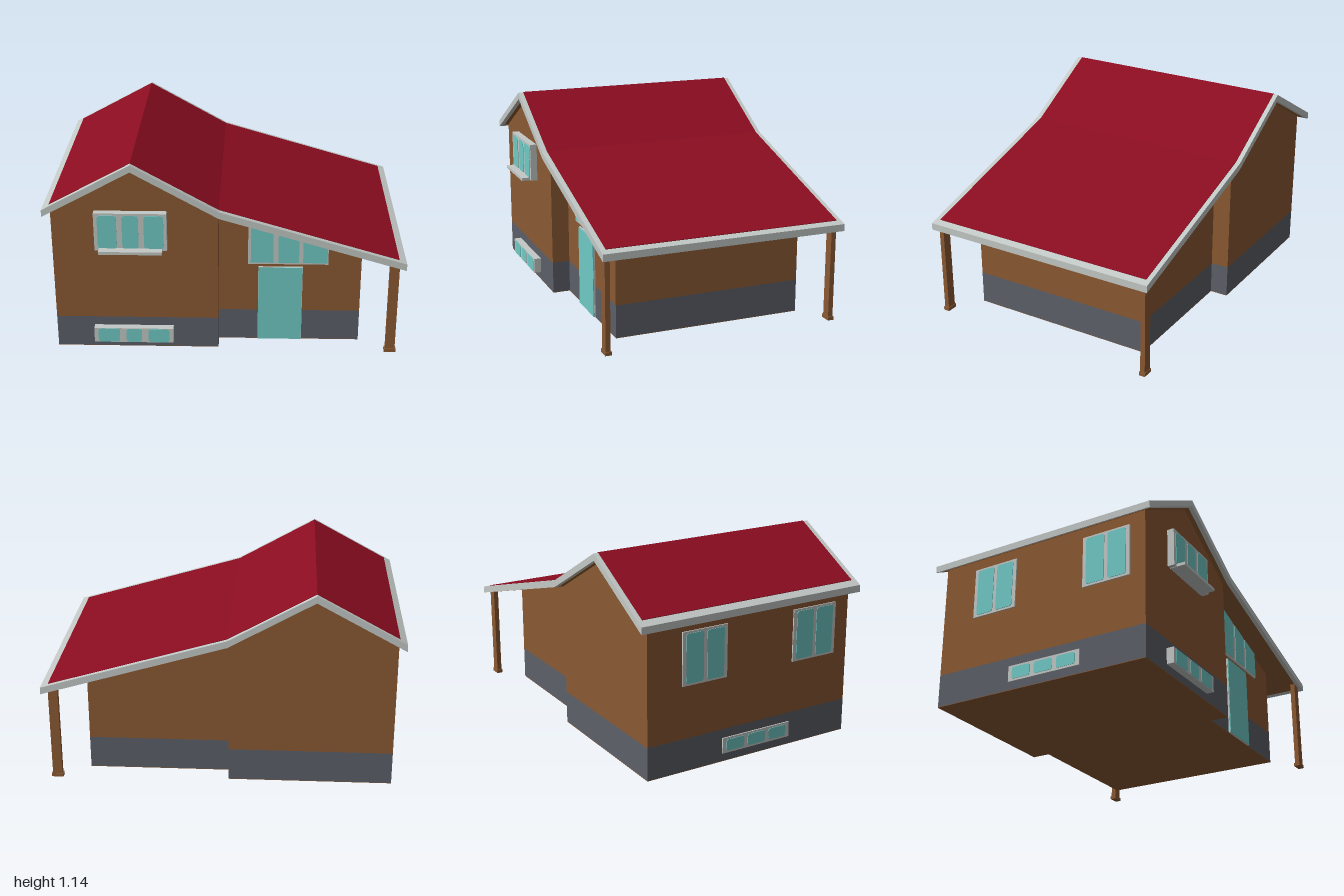
import * as THREE from 'three';

const mat = (name, color) => new THREE.MeshStandardMaterial({ name, color });

export function createModel() {
  const brick = mat('brownWall', 0x8b5a33);
  const stone = mat('slateBase', 0x5c6068);
  const trim = mat('paleTrim', 0xc3c9c6);
  const glass = mat('tealGlass', 0x70cac6);
  const red = mat('redRoof', 0x8b0d20);

  const house = new THREE.Group();
  house.name = 'house';

  const add = (name, geometry, material, parent = house) => {
    const mesh = new THREE.Mesh(geometry, material);
    mesh.name = name;
    parent.add(mesh);
    return mesh;
  };
  // Box given by its limits on each axis
  const box = (name, material, [x0, x1], [y0, y1], [z0, z1], parent) => {
    const mesh = add(name, new THREE.BoxGeometry(x1 - x0, y1 - y0, z1 - z0), material, parent);
    mesh.position.set((x0 + x1) / 2, (y0 + y1) / 2, (z0 + z1) / 2);
    return mesh;
  };
  // Outline in x and y, pushed from z0 to z1
  const prism = (name, material, points, z0, z1, parent) => {
    const shape = new THREE.Shape(points.map(([x, y]) => new THREE.Vector2(x, y)));
    const geometry = new THREE.ExtrudeGeometry(shape, { depth: z1 - z0, bevelEnabled: false });
    return add(name, geometry.translate(0, 0, z0), material, parent);
  };

  // Roof line: eave, ridge, valley, porch eave
  const line = [[-1, 0.873], [-0.51, 1.14], [-0.035, 0.873], [1, 0.57]];
  const roofY = (x) => {
    let i = 0;
    while (i < 2 && x > line[i + 1][0]) i++;
    const [[xa, ya], [xb, yb]] = [line[i], line[i + 1]];
    return ya + (yb - ya) * (x - xa) / (xb - xa);
  };
  const roofLayer = (name, material, x, top, bottom, z0, z1) => {
    const xs = [-x, line[1][0], line[2][0], x];
    const upper = xs.map((v) => [v, roofY(v) + top]);
    const lower = xs.map((v) => [v, roofY(v) + bottom]).reverse();
    prism(name, material, [...upper, ...lower], z0, z1);
  };
  roofLayer('roofFascia', trim, 1, 0, -0.04, -0.725, 0.685);
  roofLayer('roofCovering', red, 0.96, 0.003, -0.01, -0.698, 0.655);
  roofLayer('roofSoffit', brick, 0.97, -0.03, -0.043, -0.7, 0.66);

  // Two wall blocks: the gabled wing and the recessed wing beside the porch
  const block = (name, x0, x1, z0, z1, ridge) => {
    const under = (x) => [x, roofY(x) - 0.035];
    const tops = ridge ? [under(x1), under(line[1][0]), under(x0)] : [under(x1), under(x0)];
    prism(name + 'Wall', brick, [[x0, 0.19], [x1, 0.19], ...tops], z0, z1);
    box(name + 'Base', stone, [x0, x1], [0.003, 0.19], [z0, z1]);
    box(name + 'Floor', brick, [x0, x1], [0, 0.003], [z0, z1]);
  };
  block('gableWing', -0.96, -0.04, -0.67, 0.635, true);
  block('porchWing', -0.04, 0.765, -0.565, 0.532, false);

  // Porch posts with feet
  for (const z of [0.649, -0.681]) {
    const post = new THREE.Group();
    post.name = 'porchPost';
    house.add(post);
    box('postShaft', brick, [0.91, 0.964], [0, 0.55], [z - 0.014, z + 0.014], post);
    box('postFoot', brick, [0.904, 0.97], [0, 0.02], [z - 0.018, z + 0.018], post);
  }

  // Rounded glass pane
  const paneShape = (x0, x1, y0, y1, r) => {
    const s = new THREE.Shape();
    s.moveTo(x0 + r, y0);
    s.lineTo(x1 - r, y0);
    s.quadraticCurveTo(x1, y0, x1, y0 + r);
    s.lineTo(x1, y1 - r);
    s.quadraticCurveTo(x1, y1, x1 - r, y1);
    s.lineTo(x0 + r, y1);
    s.quadraticCurveTo(x0, y1, x0, y1 - r);
    s.lineTo(x0, y0 + r);
    s.quadraticCurveTo(x0, y0, x0 + r, y0);
    return s;
  };
  // Framed window standing on z = 0 and facing +z
  const makeWindow = (name, xs, ys, depth, panes, edge, radius) => {
    const group = new THREE.Group();
    group.name = name;
    house.add(group);
    box('windowFrame', trim, xs, ys, [-0.01, depth], group);
    for (const [x0, x1] of panes) {
      const shape = paneShape(x0, x1, ys[0] + edge, ys[1] - edge, radius);
      const geometry = new THREE.ExtrudeGeometry(shape, { depth: 0.003, bevelEnabled: false, curveSegments: 5 });
      add('windowPane', geometry.translate(0, 0, depth), glass, group);
    }
    return group;
  };

  // Front windows of the gabled wing
  makeWindow('gableWindow', [-0.72, -0.32], [0.63, 0.853], 0.04,
    [[-0.7, -0.595], [-0.565, -0.475], [-0.445, -0.337]], 0.012, 0.022).position.z = 0.635;
  makeWindow('frontCellarWindow', [-0.745, -0.295], [0.048, 0.138], 0.042,
    [[-0.722, -0.6], [-0.562, -0.474], [-0.437, -0.318]], 0.003, 0.018).position.z = 0.635;
  box('windowSill', trim, [-0.695, -0.345], [0.628, 0.645], [0.635, 0.725]);

  // Windows of the left-hand wall (local x runs along z)
  const side = (name, z0, z1, ys, count, gap) => {
    const step = (z1 - z0 - gap) / count;
    const panes = Array.from({ length: count }, (_, i) =>
      [z0 + gap + i * step, z0 + (i + 1) * step]);
    const group = makeWindow(name, [z0, z1], ys, 0.007, panes, 0.012, 0.015);
    group.rotation.y = -Math.PI / 2;
    group.position.x = -0.96;
  };
  side('sideWindowBack', -0.46, -0.18, [0.49, 0.79], 2, 0.022);
  side('sideWindowFront', 0.255, 0.545, [0.49, 0.79], 2, 0.022);
  side('sideCellarWindow', -0.2, 0.245, [0.048, 0.138], 3, 0.025);

  // Slanted window above the door
  const slanted = (name, material, x0, x1, y0, drop, z0, z1) =>
    prism(name, material, [[x0, y0], [x1, y0], [x1, roofY(x1) - drop], [x0, roofY(x0) - drop]], z0, z1);
  slanted('slantedWindowFrame', trim, 0.125, 0.577, 0.49, 0.038, 0.525, 0.543);
  for (const [x0, x1] of [[0.14, 0.267], [0.295, 0.412], [0.435, 0.572]])
    slanted('slantedWindowPane', glass, x0, x1, 0.5, 0.042, 0.543, 0.546);

  // Door
  box('doorFrame', trim, [0.183, 0.435], [0.003, 0.47], [0.525, 0.541]);
  box('doorPanel', glass, [0.185, 0.433], [0.005, 0.468], [0.541, 0.545]);

  return house;
}
